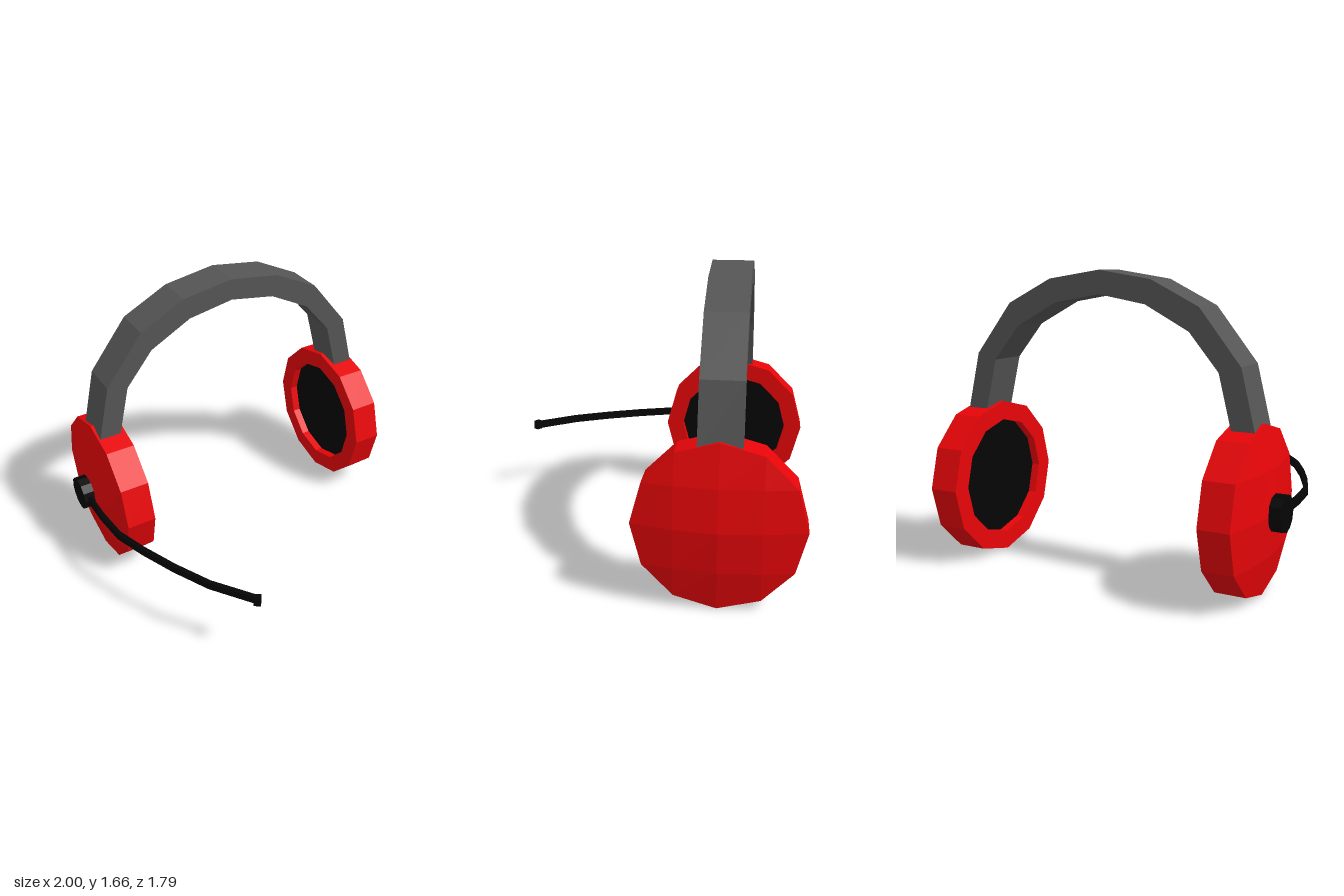
import * as THREE from 'three';

const RED = 0xe60508, GREY = 0x555555, BLACK = 0x050505;
const MID_X = 0.025, CUP_Y = 0.45, CUP_Z = -0.447;

function part(name, geometry, color) {
  const flat = geometry.index ? geometry.toNonIndexed() : geometry;
  flat.computeVertexNormals();
  const mesh = new THREE.Mesh(flat, new THREE.MeshStandardMaterial({ color, flatShading: true }));
  mesh.name = name;
  return mesh;
}

const points = (list) => list.map(([x, y]) => new THREE.Vector2(x, y));

// Shallow dome whose faces follow a square grid, ending on a 12-sided rim
function domeGeometry(radius, base, height) {
  const dome = new THREE.PlaneGeometry(4, 4, 4, 4);
  const pos = dome.attributes.position;
  const onRim = radius * Math.cos(Math.PI / 6);
  for (let i = 0; i < pos.count; i++) {
    const u = Math.round(pos.getX(i)), v = Math.round(pos.getY(i));
    const edgeU = Math.abs(u) === 2, edgeV = Math.abs(v) === 2;
    let x = u * radius / 2, y = v * radius / 2;
    if (edgeU && edgeV) {
      // Grid corners sit midway along a rim edge
      x = Math.sign(u) * (onRim + radius / 2) / 2;
      y = Math.sign(v) * (onRim + radius / 2) / 2;
    } else if (edgeU && v !== 0) {
      x = Math.sign(u) * onRim;
    } else if (edgeV && u !== 0) {
      y = Math.sign(v) * onRim;
    }
    const rise = edgeU || edgeV ? 0 : height * (1 - (Math.hypot(x, y) / radius) ** 1.7);
    pos.setXYZ(i, x, y, base + rise);
  }
  return dome.rotateY(Math.PI / 2);
}

// Ear cup facing outward along +x, with a recessed pad on the inner side
function earCup(name) {
  const cup = new THREE.Group();
  cup.name = name;
  const profile = points([[0.342, 0.78], [0.342, 0.73], [0.45, 0.73], [0.45, 0.9]]);
  const shell = new THREE.LatheGeometry(profile, 12).rotateZ(-Math.PI / 2);
  const pad = new THREE.CircleGeometry(0.342, 12).rotateY(-Math.PI / 2).translate(0.78, 0, 0);
  cup.add(
    part('cupShell', shell, RED),
    part('cupDome', domeGeometry(0.45, 0.9, 0.073), RED),
    part('cupPad', pad, BLACK),
  );
  cup.position.set(MID_X, CUP_Y, CUP_Z);
  return cup;
}

// Headband: half outline mirrored into a faceted arch
function headband() {
  const outer = [[0.895, 0.84], [0.81, 1.19], [0.58, 1.48], [0.308, 1.615]];
  const inner = [[0.768, 0.84], [0.69, 1.157], [0.525, 1.355], [0.275, 1.487]];
  const mirror = (list) => list.map(([x, y]) => [-x, y]);
  const outline = [
    ...outer, [0, 1.662], ...mirror(outer).reverse(),
    ...mirror(inner), [0, 1.535], ...inner.slice().reverse(),
  ];
  const depth = 0.228;
  const arch = new THREE.ExtrudeGeometry(new THREE.Shape(points(outline)), { depth, bevelEnabled: false });
  arch.translate(MID_X, 0, CUP_Z - depth / 2);
  return part('headband', arch, GREY);
}

// Microphone: hub, curved flat boom and small tip
function microphone() {
  const mic = new THREE.Group();
  mic.name = 'microphone';
  const hub = new THREE.CylinderGeometry(0.1, 0.1, 0.08, 12).rotateZ(Math.PI / 2);
  hub.translate(-0.96, CUP_Y, CUP_Z);

  const path = points([
    [-0.967, -0.4], [-0.965, -0.18], [-0.946, 0.03], [-0.882, 0.22],
    [-0.795, 0.43], [-0.69, 0.64], [-0.53, 0.86],
  ]);
  const side = (offset) => path.map((p, i) => {
    const along = path[Math.min(i + 1, path.length - 1)].clone().sub(path[Math.max(i - 1, 0)]).normalize();
    return new THREE.Vector2(p.x - along.y * offset, p.y + along.x * offset);
  });
  const ribbon = new THREE.Shape([...side(-0.0125), ...side(0.0125).reverse()]);
  const boom = new THREE.ExtrudeGeometry(ribbon, { depth: 0.044, bevelEnabled: false });
  boom.rotateX(Math.PI / 2).translate(0, CUP_Y + 0.024, 0);

  const tip = new THREE.BoxGeometry(0.04, 0.054, 0.036).rotateY(-0.63);
  tip.translate(-0.529, CUP_Y + 0.002, 0.868);
  mic.add(part('micHub', hub, BLACK), part('micBoom', boom, BLACK), part('micTip', tip, BLACK));
  return mic;
}

export function createModel() {
  const model = new THREE.Group();
  model.name = 'headset';
  const leftCup = earCup('leftEarCup');
  const rightCup = earCup('rightEarCup');
  rightCup.rotation.y = Math.PI;
  model.add(leftCup, rightCup, headband(), microphone());
  return model;
}
